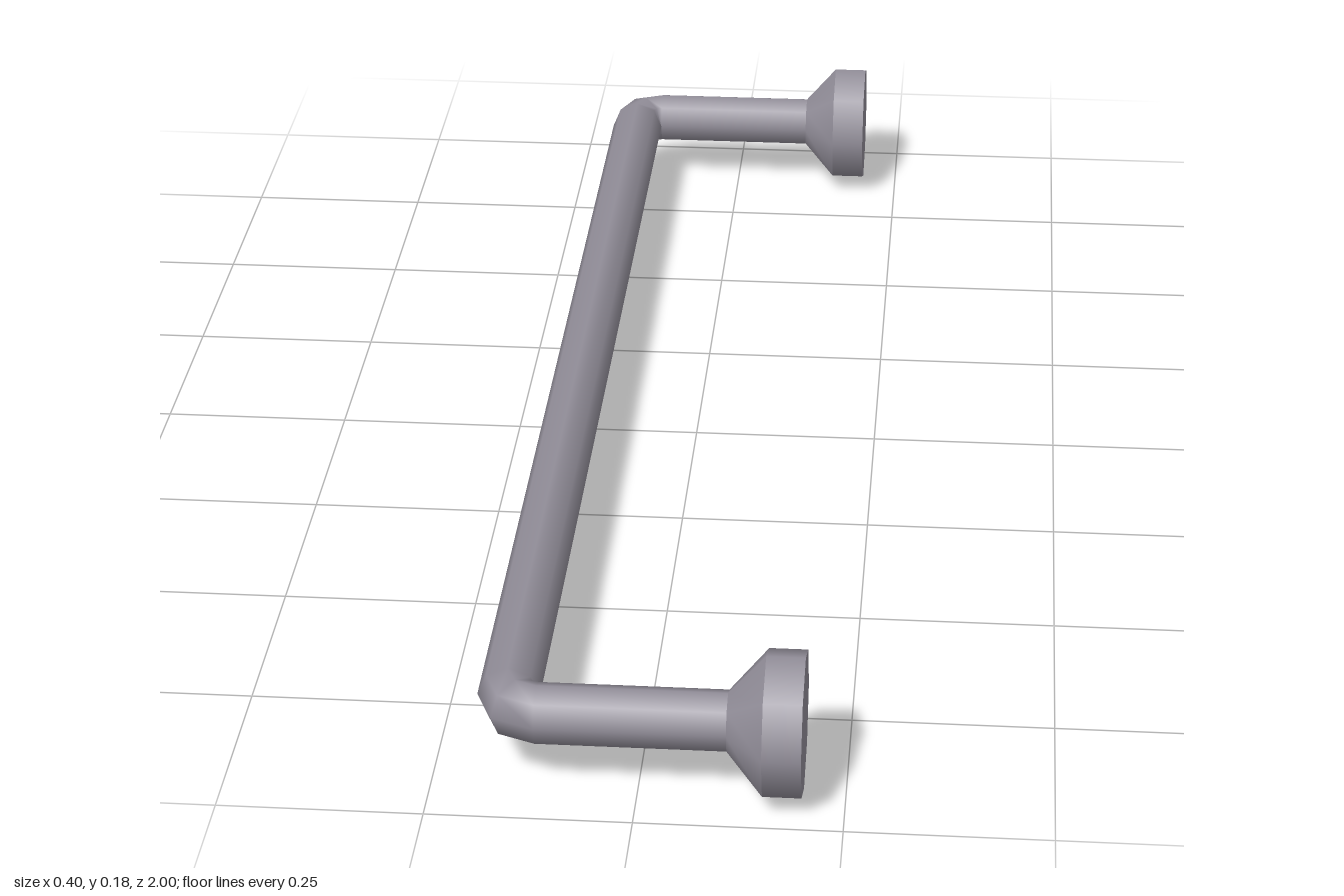
import * as THREE from 'three';

const SIDES = 8;
const TUBE_R = 0.038;   // rail radius, also the bend radius
const FLANGE_R = 0.091;
const AXIS_Y = 0.091;   // height of the rail axis
const ARM_Z = 0.909;    // distance of each arm from the middle
const BAR_X = -0.161;   // axis of the long bar
const NECK_X = 0.107;   // where the arms meet the flanges

// Sweeps an octagonal ring along stations { x, z, angle }; angle is the
// direction of the ring's outer side in the ground plane.
function sweepTube(stations) {
  const positions = [], normals = [], index = [];
  for (const { x, z, angle } of stations) {
    const ox = Math.cos(angle), oz = Math.sin(angle);
    for (let j = 0; j <= SIDES; j++) {
      const a = (j / SIDES) * Math.PI * 2;
      const nx = Math.cos(a) * ox, ny = Math.sin(a), nz = Math.cos(a) * oz;
      positions.push(x + TUBE_R * nx, AXIS_Y + TUBE_R * ny, z + TUBE_R * nz);
      normals.push(nx, ny, nz);
    }
  }
  const row = SIDES + 1;
  for (let i = 0; i < stations.length - 1; i++) {
    for (let j = 0; j < SIDES; j++) {
      const a = i * row + j, b = a + row;
      index.push(a, b, a + 1, b, b + 1, a + 1);
    }
  }
  const geometry = new THREE.BufferGeometry();
  geometry.setAttribute('position', new THREE.Float32BufferAttribute(positions, 3));
  geometry.setAttribute('normal', new THREE.Float32BufferAttribute(normals, 3));
  geometry.setIndex(index);
  return geometry;
}

// Three rings turning a corner around its inner edge
function bend(pivotZ, fromDeg, toDeg) {
  return [0, 0.5, 1].map((t) => {
    const angle = THREE.MathUtils.degToRad(fromDeg + (toDeg - fromDeg) * t);
    return {
      x: BAR_X + TUBE_R + TUBE_R * Math.cos(angle),
      z: pivotZ + TUBE_R * Math.sin(angle),
      angle,
    };
  });
}

// Octagonal cylinder lying along x, between x0 and x1
function discAlongX(x0, x1, r0, r1, open) {
  return new THREE.CylinderGeometry(r1, r0, x1 - x0, SIDES, 1, open)
    .rotateZ(-Math.PI / 2)
    .translate((x0 + x1) / 2, 0, 0);
}

export function createModel() {
  const metal = new THREE.MeshStandardMaterial({ color: 0x918d98 });
  metal.name = 'grey metal';

  const model = new THREE.Group();
  model.name = 'wallRail';

  const add = (parent, name, geometry) => {
    const mesh = new THREE.Mesh(geometry, metal);
    mesh.name = name;
    parent.add(mesh);
  };

  // Arm, bend, long bar, bend, arm in one sweep
  const pivotZ = ARM_Z - TUBE_R;
  add(model, 'rail', sweepTube([
    { x: NECK_X, z: -ARM_Z, angle: -Math.PI / 2 },
    ...bend(-pivotZ, -90, -180),
    ...bend(pivotZ, 180, 90),
    { x: NECK_X, z: ARM_Z, angle: Math.PI / 2 },
  ]));

  // Wall flanges: a flared neck and a flat rim
  for (const side of [-1, 1]) {
    const flange = new THREE.Group();
    flange.name = side > 0 ? 'frontFlange' : 'backFlange';
    flange.position.set(0, AXIS_Y, side * ARM_Z);
    add(flange, 'flare', discAlongX(NECK_X, 0.152, TUBE_R, FLANGE_R, true));
    add(flange, 'rim', discAlongX(0.152, 0.199, FLANGE_R, FLANGE_R, false));
    model.add(flange);
  }
  return model;
}
